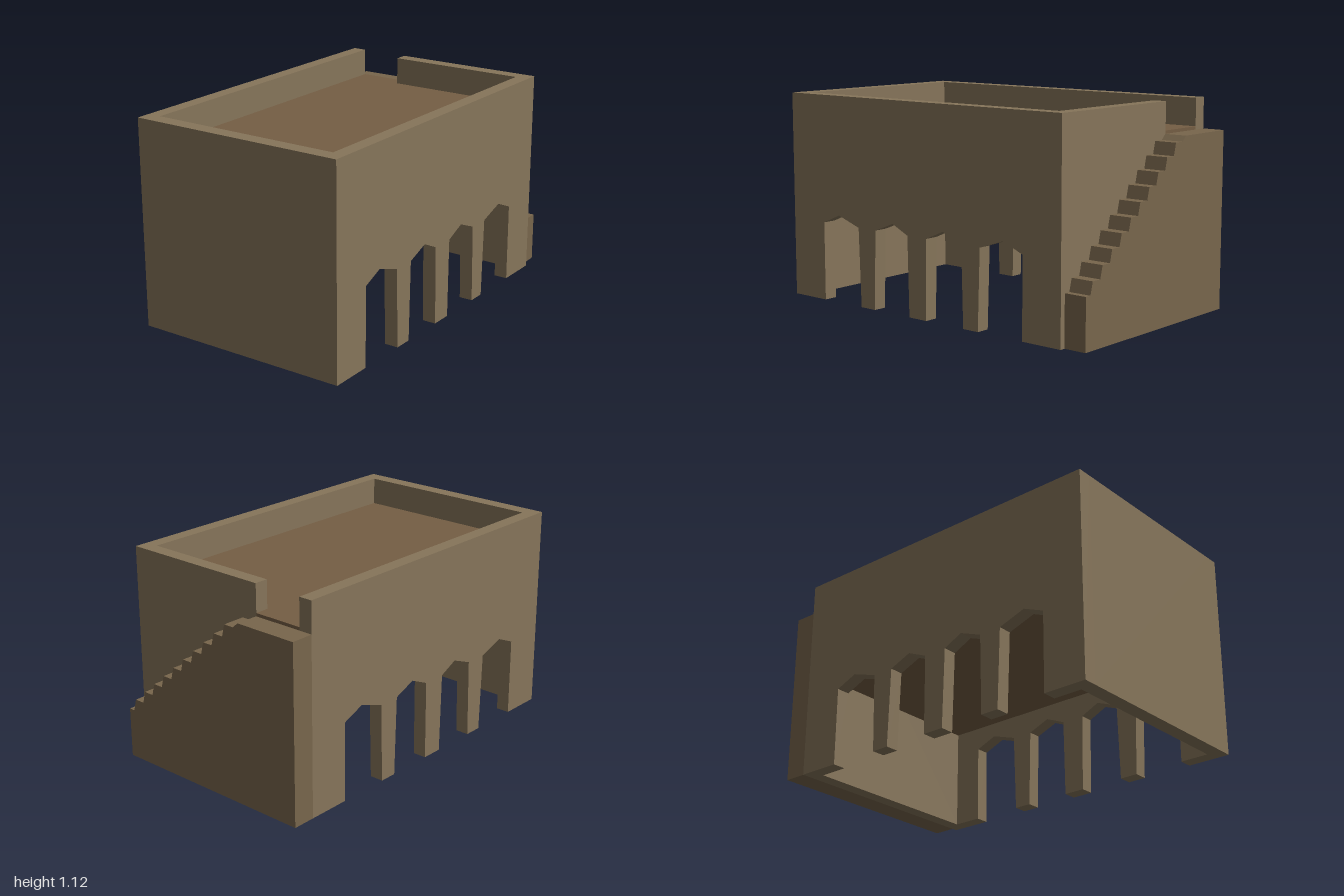
import * as THREE from 'three';

const stone = new THREE.MeshStandardMaterial({ color: 0x86755a });
const clay = new THREE.MeshStandardMaterial({ color: 0x755e44 });
const stair = new THREE.MeshStandardMaterial({ color: 0x78664c });

// Overall extents of the building (without the stair)
const L = -1, R = 0.875, D = 0.605, H = 1.125;
const T = 0.075;                       // wall thickness
const IL = -0.92, IR = 0.8, ID = D - T; // inner faces
const DECK = 0.975, CEILING = 0.56;

function add(parent, name, geometry, material) {
  const mesh = new THREE.Mesh(geometry, material);
  mesh.name = name;
  parent.add(mesh);
  return mesh;
}

// Box given by its minimum and maximum corners
function block(x0, x1, y0, y1, z0, z1) {
  return new THREE.BoxGeometry(x1 - x0, y1 - y0, z1 - z0)
    .translate((x0 + x1) / 2, (y0 + y1) / 2, (z0 + z1) / 2);
}

function extrude(points, depth) {
  const shape = new THREE.Shape(points.map(([x, y]) => new THREE.Vector2(x, y)));
  return new THREE.ExtrudeGeometry(shape, { depth, bevelEnabled: false });
}

// Side profile given as [z, y], extruded along x from x0 to x1
function sideProfile(points, x0, x1) {
  return extrude(points.map(([z, y]) => [-z, y]), x1 - x0)
    .rotateY(Math.PI / 2).translate(x0, 0, 0);
}

// Wall outline with four pointed openings cut up from the ground
function arcadeOutline() {
  // foot, spring, peak, spring, foot (x positions)
  const arches = [
    [-0.762, -0.762, -0.644, -0.493, -0.479],
    [-0.377, -0.366, -0.238, -0.131, -0.122],
    [-0.002, 0.003, 0.118, 0.243, 0.254],
    [0.352, 0.366, 0.516, 0.639, 0.639],
  ];
  const heights = [0, 0.43, 0.48, 0.43, 0];
  const points = [[L, 0]];
  for (const arch of arches) arch.forEach((x, i) => points.push([x, heights[i]]));
  points.push([R, 0], [R, H], [L, H]);
  return points;
}

// Solid stair profile with slightly leaning risers
function stairOutline() {
  const steps = 11, run = 0.0757, rise = 0.066, lean = 0.017;
  const points = [[-D, 0], [0.575, 0], [0.575, 0.27]];
  for (let i = 0; i < steps; i++) {
    const z = 0.54 - i * run, y = 0.27 + i * rise;
    points.push([z, y]);
    if (i < steps - 1) points.push([z - lean, y + rise]);
  }
  points.push([-0.248, 0.958], [-D, 0.958]);
  return points;
}

export function createModel() {
  const model = new THREE.Group();
  model.name = 'flatRoofedHouse';

  // Front and back arcaded walls
  add(model, 'frontWall', extrude(arcadeOutline(), T).translate(0, 0, ID), stone);
  add(model, 'backWall', extrude(arcadeOutline(), T).translate(0, 0, -D), stone);

  // End walls; the stair side has a gap in its parapet
  add(model, 'rightWall', block(L, IL, 0, H, -ID, ID), stone);
  const gap = -0.25, sill = 0.958;
  add(model, 'leftWall', sideProfile(
    [[-ID, 0], [ID, 0], [ID, H], [gap, H], [gap, sill], [-ID, sill]], IR, R), stone);

  // Roof deck over the open hall, with the threshold to the stair
  add(model, 'roofDeck', block(IL, IR, CEILING, DECK, -ID, ID), clay);
  add(model, 'threshold', block(IR, R, sill, DECK, -ID, gap), clay);

  // Outside stair and landing
  add(model, 'stair', sideProfile(stairOutline(), R, 1), stair);

  return model;
}
